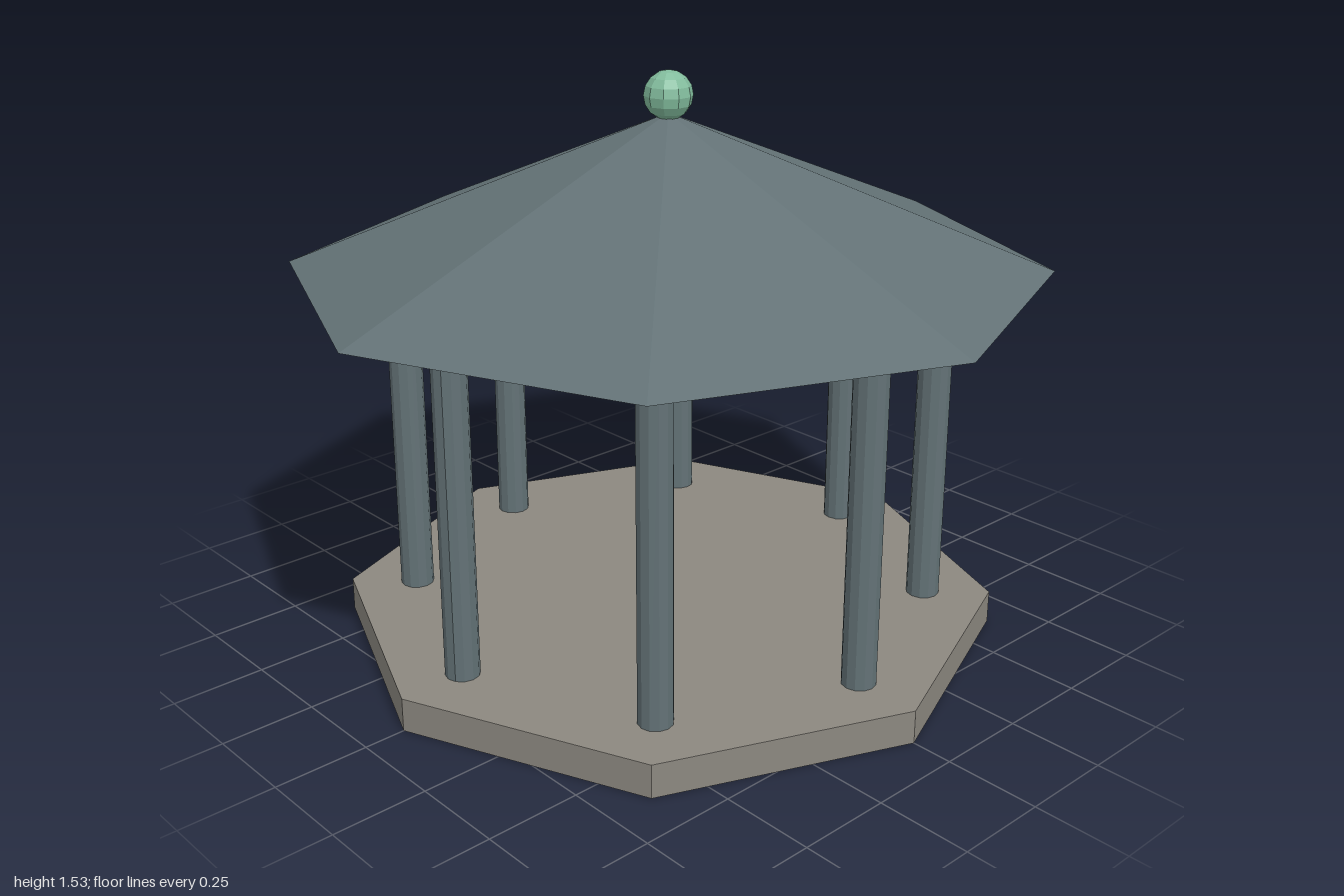
import * as THREE from 'three';

export function createModel() {
  const pavilion = new THREE.Group();
  pavilion.name = 'pavilion';

  const material = (name, color, flatShading = true) => {
    const m = new THREE.MeshStandardMaterial({ color, flatShading });
    m.name = name;
    return m;
  };
  const stone = material('warm stone', 0x8c8880);
  const slate = material('slate grey', 0x637276);
  const copper = material('pale green copper', 0x82bc9d);

  const add = (name, geometry, mat, x, y, z) => {
    const mesh = new THREE.Mesh(geometry, mat);
    mesh.name = name;
    mesh.position.set(x, y, z);
    pavilion.add(mesh);
    return mesh;
  };

  // Octagonal slab between two heights
  const slab = (name, radius, bottom, top, mat) =>
    add(name, new THREE.CylinderGeometry(radius, radius, top - bottom, 8), mat, 0, (bottom + top) / 2, 0);

  slab('base', 0.89, 0, 0.09, stone);
  slab('ceilingBeam', 0.796, 0.975, 1.02, copper);

  // Ring of eight columns, one at each corner
  const columnGeometry = new THREE.CylinderGeometry(0.045, 0.045, 0.885, 12);
  for (let i = 0; i < 8; i++) {
    const a = (i * Math.PI) / 4;
    add(`column${i + 1}`, columnGeometry, slate, 0.705 * Math.sin(a), 0.5325, 0.705 * Math.cos(a));
  }

  // Eight-sided pyramid roof, closed underneath
  add('roof', new THREE.ConeGeometry(1, 0.405, 8), slate, 0, 1.2225, 0);

  // Ball finial
  add('finial', new THREE.SphereGeometry(0.064, 10, 8), copper, 0, 1.47, 0);

  return pavilion;
}
